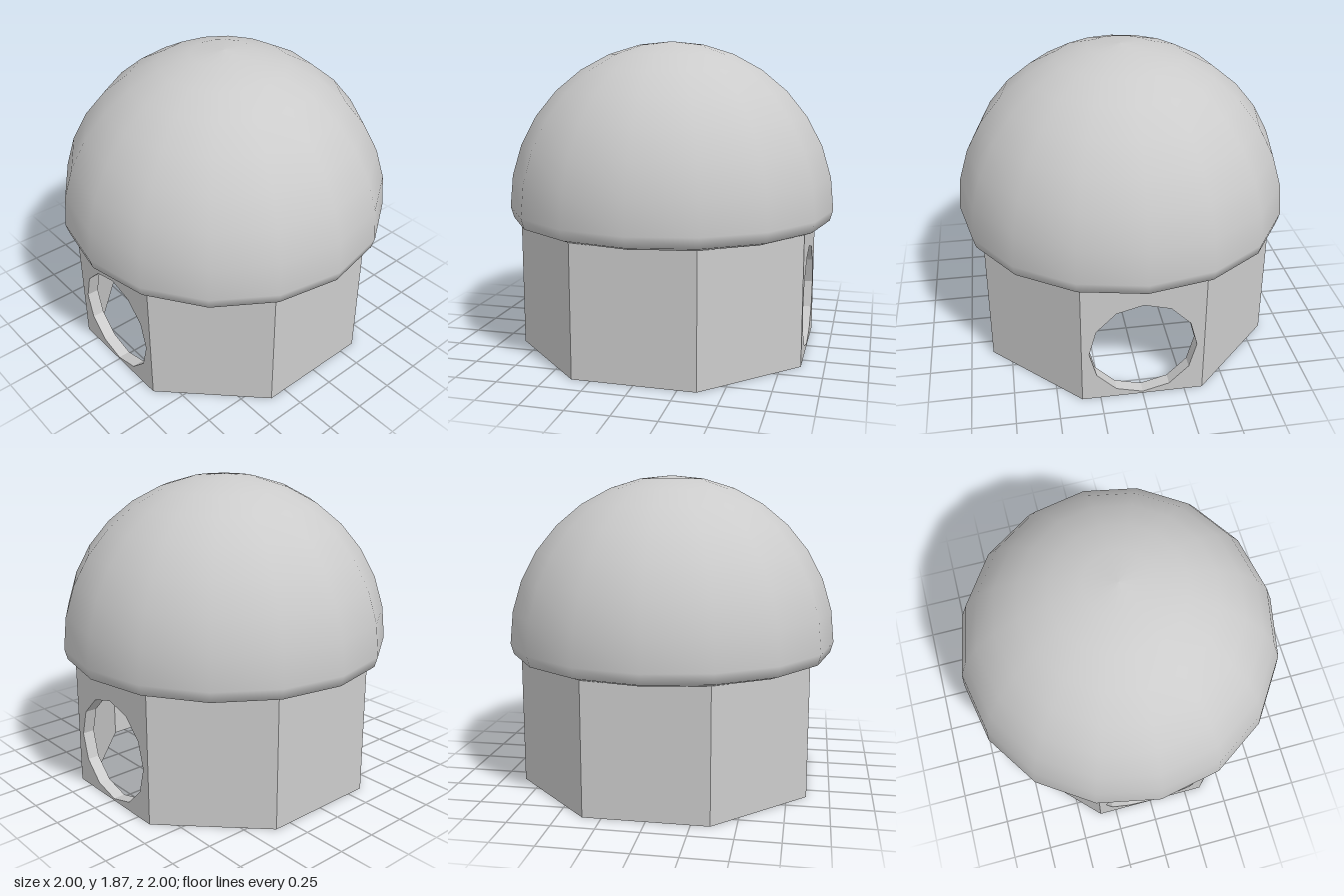
import * as THREE from 'three';

const SIDES = 8;
const APOTHEM = 0.865;      // wall centre to outer face
const THICKNESS = 0.073;
const WALL_HEIGHT = 0.79;
const DOME_BASE = 0.866;
const HALF_TAN = Math.tan(Math.PI / SIDES);

// One wall panel with mitred ends, optionally pierced by a 12-sided window
function wallPanel(withWindow) {
  const half = APOTHEM * HALF_TAN;
  const innerHalf = (APOTHEM - THICKNESS) * HALF_TAN;
  const shape = new THREE.Shape([
    new THREE.Vector2(-half, 0),
    new THREE.Vector2(half, 0),
    new THREE.Vector2(half, WALL_HEIGHT),
    new THREE.Vector2(-half, WALL_HEIGHT),
  ]);
  if (withWindow) {
    const ring = [];
    for (let i = 0; i < 12; i++) {
      const a = -i * Math.PI / 6;
      ring.push(new THREE.Vector2(0.314 * Math.cos(a), 0.326 + 0.314 * Math.sin(a)));
    }
    shape.holes.push(new THREE.Path(ring));
  }
  const geometry = new THREE.ExtrudeGeometry(shape, { depth: THICKNESS, bevelEnabled: false });
  geometry.translate(0, 0, APOTHEM - THICKNESS);

  // Pull the inner corners in so neighbouring panels meet in a mitre
  const p = geometry.attributes.position;
  for (let i = 0; i < p.count; i++) {
    const x = p.getX(i);
    if (p.getZ(i) < APOTHEM - THICKNESS / 2 && Math.abs(x) > half - 1e-4) {
      p.setX(i, Math.sign(x) * innerHalf);
    }
  }
  geometry.computeVertexNormals();
  return geometry;
}

// Hollow dome: inner shell down to a rounded rim, then outer shell up
function domeGeometry() {
  const points = [];
  const steps = 8;
  const arc = (radius, i) => {
    const a = (i / steps) * Math.PI / 2;
    return new THREE.Vector2(radius * Math.sin(a), DOME_BASE + radius * Math.cos(a));
  };
  for (let i = 0; i <= steps; i++) points.push(arc(0.92, i));
  points.push(
    new THREE.Vector2(0.86, 0.785),
    new THREE.Vector2(0.93, 0.782),
    new THREE.Vector2(0.982, 0.802),
  );
  for (let i = steps; i >= 0; i--) points.push(arc(1, i));
  return new THREE.LatheGeometry(points, 16);
}

export function createModel() {
  const model = new THREE.Group();
  model.name = 'domedHut';
  const wallMaterial = new THREE.MeshStandardMaterial({ color: 0xcccccc, flatShading: true });
  const domeMaterial = new THREE.MeshStandardMaterial({ color: 0xcccccc });

  // Octagonal wall, with windows on the left and right sides
  const walls = new THREE.Group();
  walls.name = 'walls';
  const solid = wallPanel(false);
  const pierced = wallPanel(true);
  for (let i = 0; i < SIDES; i++) {
    const hasWindow = i === 2 || i === 6;
    const panel = new THREE.Mesh(hasWindow ? pierced : solid, wallMaterial);
    panel.name = hasWindow ? 'windowPanel' : 'wallPanel';
    panel.rotation.y = i * 2 * Math.PI / SIDES;
    walls.add(panel);
  }
  model.add(walls);

  // Smooth dome roof
  const dome = new THREE.Mesh(domeGeometry(), domeMaterial);
  dome.name = 'domeRoof';
  model.add(dome);

  return model;
}
